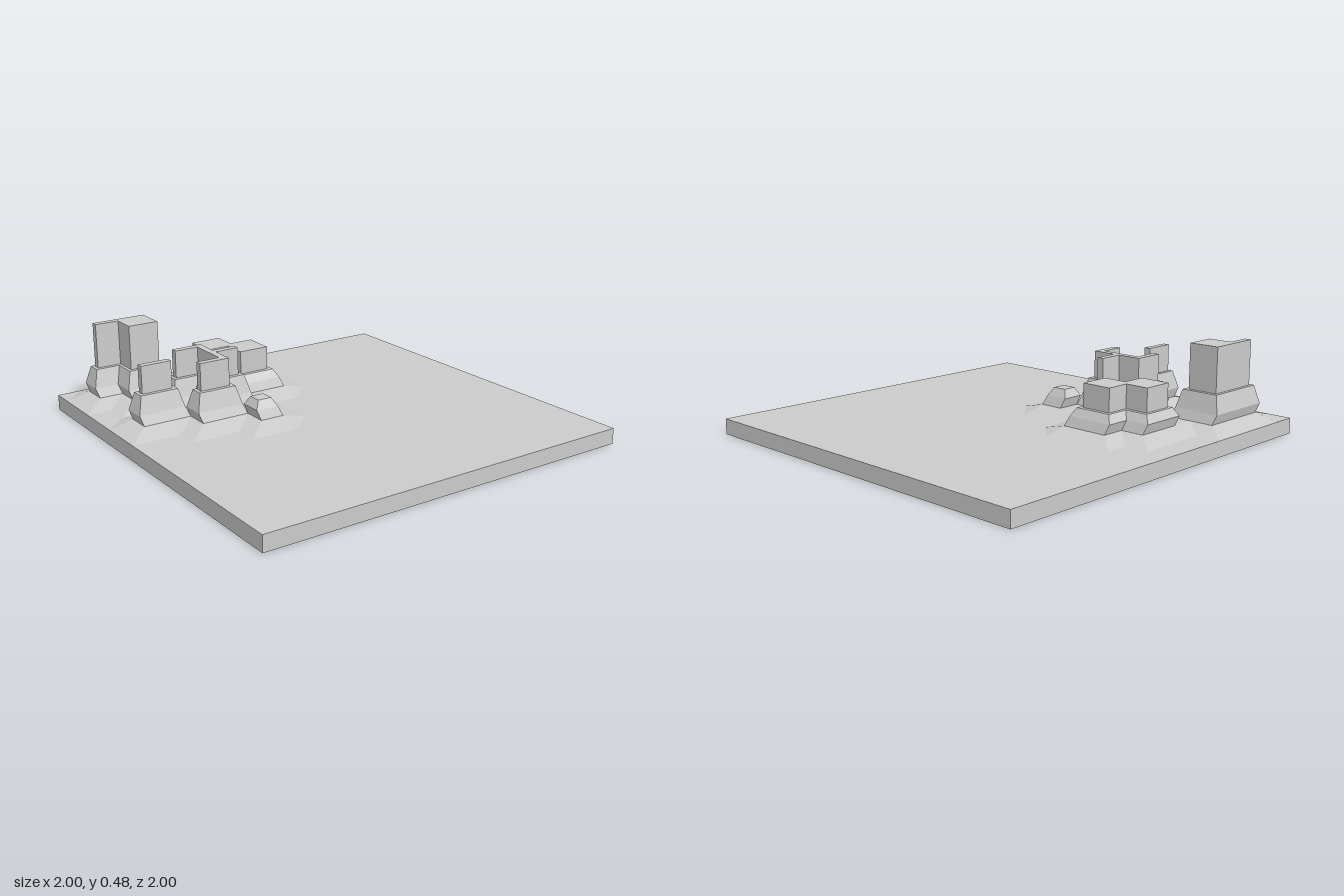
import * as THREE from 'three';

const material = new THREE.MeshStandardMaterial({ color: 0xcccccc, flatShading: true });
const CELL = 0.125, GROUND = 0.08, MOUND = 0.11;

// Rock outlines in grid cells (x, z), clockwise from above; cap = 0 means no upper block
const ROCKS = [
  { name: 'tallRock', shoulder: 0.25, cap: 0.48,
    outline: [[-7, -7], [-4, -7], [-4, -5], [-6, -5], [-6, -6], [-7, -6]] },
  { name: 'steppedRock', shoulder: 0.2, cap: 0.32,
    outline: [[-3, -6], [-1, -6], [-1, -5], [0, -5], [0, -3], [-2, -3], [-2, -4], [-3, -4]] },
  { name: 'forkedRock', shoulder: 0.25, cap: 0.39,
    outline: [[-5, -4], [-3, -4], [-3, -3], [-2, -3], [-2, -2], [-3, -2], [-3, -1], [-5, -1],
      [-5, -2], [-4, -2], [-4, -3], [-5, -3]] },
  { name: 'longRock', shoulder: 0.25, cap: 0.39,
    outline: [[-7, -3], [-5, -3], [-5, -2], [-7, -2]] },
  { name: 'smallRock', shoulder: 0.2, cap: 0,
    outline: [[-3, -1], [-2, -1], [-2, 0], [-3, 0]] },
];

// Moves every wall of a right-angled outline inward, then shifts the whole ring
function ring(outline, y, inset, shift) {
  const n = outline.length;
  return outline.map(([x, z], i) => {
    const [px, pz] = outline[(i + n - 1) % n], [qx, qz] = outline[(i + 1) % n];
    const nx = -Math.sign(z - pz) - Math.sign(qz - z);
    const nz = Math.sign(x - px) + Math.sign(qx - x);
    return [x * CELL + nx * inset - shift, y, z * CELL + nz * inset - shift];
  });
}

// Flat walls between successive rings
function wallGeometry(rings) {
  const pos = [];
  for (let k = 0; k + 1 < rings.length; k++) {
    const lo = rings[k], hi = rings[k + 1];
    lo.forEach((a, i) => {
      const j = (i + 1) % lo.length;
      pos.push(...a, ...hi[i], ...lo[j], ...lo[j], ...hi[i], ...hi[j]);
    });
  }
  const geo = new THREE.BufferGeometry();
  geo.setAttribute('position', new THREE.Float32BufferAttribute(pos, 3));
  geo.computeVertexNormals();
  return geo;
}

function addMesh(parent, name, geo) {
  const mesh = new THREE.Mesh(geo, material);
  mesh.name = name;
  parent.add(mesh);
}

function makeRock({ name, outline, shoulder, cap }) {
  const rock = new THREE.Group();
  rock.name = name;
  // Flared foot, bulge and shoulder, then the upright block
  const rings = [
    ring(outline, MOUND, 0, 0),
    ring(outline, 0.158, 0.002, 0.016),
    ring(outline, shoulder, 0.026, 0.016),
  ];
  if (cap) rings.push(ring(outline, shoulder, 0.045, 0.018), ring(outline, cap, 0.045, 0.018));
  addMesh(rock, name + 'Walls', wallGeometry(rings));

  const top = rings[rings.length - 1];
  const shape = new THREE.Shape(top.map(([x, , z]) => new THREE.Vector2(x, -z)));
  const lid = new THREE.ShapeGeometry(shape).rotateX(-Math.PI / 2).translate(0, top[0][1], 0);
  addMesh(rock, name + 'Top', lid);
  return rock;
}

// True where a grid point touches the outline of a rock
function touchesRock(x, z) {
  return ROCKS.some(({ outline }) => outline.some(([ax, az], i) => {
    const [bx, bz] = outline[(i + 1) % outline.length];
    return x >= Math.min(ax, bx) && x <= Math.max(ax, bx) && z >= Math.min(az, bz) && z <= Math.max(az, bz);
  }));
}

export function createModel() {
  const model = new THREE.Group();
  model.name = 'rockyTerrain';

  // Slab without its upper face, which the terrain replaces
  const slab = new THREE.BoxGeometry(2, GROUND, 2).translate(0, GROUND / 2, 0);
  slab.setIndex(Array.from(slab.index.array).filter((_, i) => i < 12 || i >= 18));
  addMesh(model, 'slab', slab);

  // Terrain grid raised around the feet of the rocks
  const land = new THREE.PlaneGeometry(2, 2, 16, 16).rotateX(-Math.PI / 2);
  const p = land.attributes.position;
  for (let i = 0; i < p.count; i++) {
    const raised = touchesRock(Math.round(p.getX(i) / CELL), Math.round(p.getZ(i) / CELL));
    p.setY(i, raised ? MOUND : GROUND);
  }
  land.computeVertexNormals();
  addMesh(model, 'terrain', land);

  for (const rock of ROCKS) model.add(makeRock(rock));
  return model;
}
